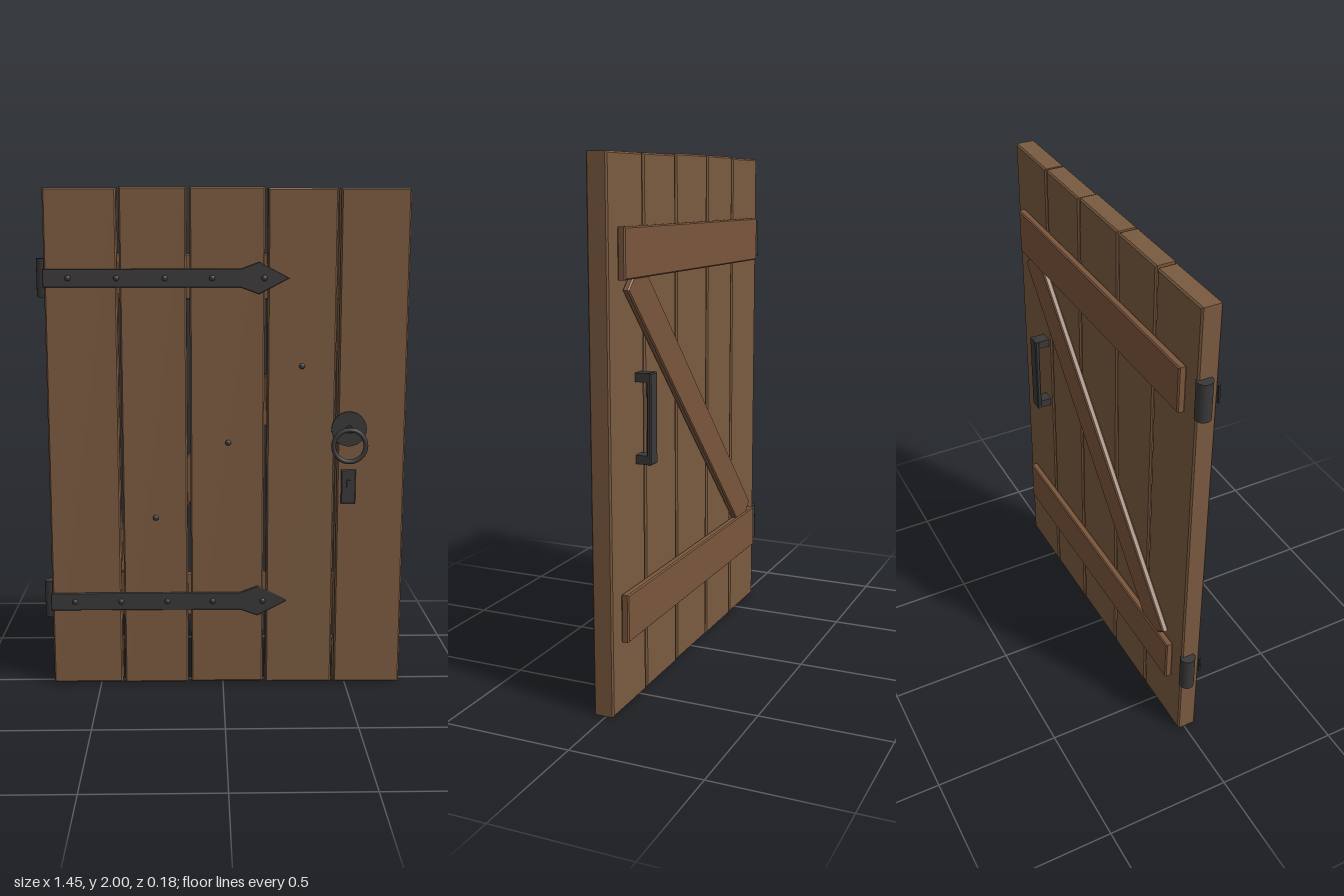
import * as THREE from 'three';

const material = (name, color) => {
  const m = new THREE.MeshStandardMaterial({ color });
  m.name = name;
  return m;
};

export function createModel() {
  const door = new THREE.Group();
  door.name = 'plankDoor';
  const wood = material('plankWood', 0x7a5a40);
  const braceWood = material('braceWood', 0x7a563c);
  const iron = material('darkIron', 0x3a3839);

  const add = (name, geometry, mat, x, y, z, parent = door) => {
    const mesh = new THREE.Mesh(geometry, mat);
    mesh.name = name;
    mesh.position.set(x, y, z);
    parent.add(mesh);
    return mesh;
  };

  // Flat shape with chamfered edges, centred on z = 0
  const slab = (points, depth, bevel) => {
    const shape = new THREE.Shape(points.map(([x, y]) => new THREE.Vector2(x, y)));
    const g = new THREE.ExtrudeGeometry(shape, {
      depth: depth - 2 * bevel, bevelEnabled: true, bevelSegments: 1,
      bevelSize: bevel, bevelThickness: bevel, bevelOffset: -bevel,
    });
    return g.translate(0, 0, bevel - depth / 2);
  };
  const board = (w, h, d, bevel) => slab(
    [[-w / 2, -h / 2], [w / 2, -h / 2], [w / 2, h / 2], [-w / 2, h / 2]], d, bevel);
  const disc = (r, d, sides) => new THREE.CylinderGeometry(r, r, d, sides).rotateX(Math.PI / 2);
  const stud = (name, x, y, z, parent) => {
    const g = new THREE.SphereGeometry(0.012, 10, 4, 0, Math.PI * 2, 0, Math.PI / 2);
    add(name, g.rotateX(Math.PI / 2).scale(1, 1, 0.7), iron, x, y, z, parent);
  };

  // Upright planks of slightly different size
  const planks = [
    [-0.692, -0.411, 0.006, 1.996], [-0.401, -0.142, 0.004, 2.0], [-0.130, 0.163, 0.006, 2.0],
    [0.174, 0.444, 0.002, 1.995], [0.455, 0.725, 0.0, 1.994],
  ];
  planks.forEach(([x0, x1, y0, y1], i) =>
    add(`plank${i + 1}`, board(x1 - x0, y1 - y0, 0.079, 0.006), wood,
      (x0 + x1) / 2, (y0 + y1) / 2, 0.009));

  // Back rails and diagonal brace
  for (const [name, y] of [['upperRail', 1.655], ['lowerRail', 0.354]])
    add(name, board(1.28, 0.18, 0.03, 0.005), braceWood, 0.017, y, -0.046);
  const brace = add('diagonalBrace', board(1.59, 0.145, 0.025, 0.005), braceWood, 0.02, 1.005, -0.043);
  brace.rotation.z = 0.806;
  for (const i of [-1, 0, 1]) stud('braceNail', 0.02 + i * 0.29, 1.005 + i * 0.305, 0.048);

  // Strap hinges with spear tips
  const strap = [[-0.697, -0.036], [0.07, -0.036], [0.14, -0.062], [0.257, 0],
    [0.14, 0.062], [0.07, 0.036], [-0.697, 0.036]];
  for (const [name, y] of [['upperHinge', 1.653], ['lowerHinge', 0.353]]) {
    const hinge = new THREE.Group();
    hinge.name = name;
    hinge.position.y = y;
    door.add(hinge);
    add('strap', slab(strap, 0.01, 0.002), iron, 0, 0, 0.052, hinge);
    add('barrel', new THREE.CylinderGeometry(0.03, 0.03, 0.15, 16), iron, -0.698, 0, -0.008, hinge);
    for (const x of [-0.6, -0.413, -0.226, -0.042, 0.16]) stud('rivet', x, 0, 0.056, hinge);
  }

  // Ring pull
  add('ringPlate', disc(0.07, 0.01, 24), iron, 0.5, 1.06, 0.052);
  add('ringStem', disc(0.015, 0.034, 12), iron, 0.5, 1.06, 0.07);
  add('pullRing', new THREE.TorusGeometry(0.064, 0.0095, 10, 32), iron, 0.5, 0.997, 0.0825);

  // Lock plate with a raised keyhole cover
  add('lockPlate', board(0.058, 0.138, 0.011, 0.003), iron, 0.501, 0.826, 0.0525);
  add('keyholeCover', new THREE.BoxGeometry(0.014, 0.055, 0.004), iron, 0.501, 0.826, 0.06);

  // Back grip on two posts
  add('backGrip', board(0.055, 0.335, 0.018, 0.004), iron, 0.501, 1.062, -0.084);
  for (const y of [0.912, 1.212])
    add('gripPost', new THREE.BoxGeometry(0.05, 0.033, 0.05), iron, 0.501, y, -0.053);

  return door;
}
